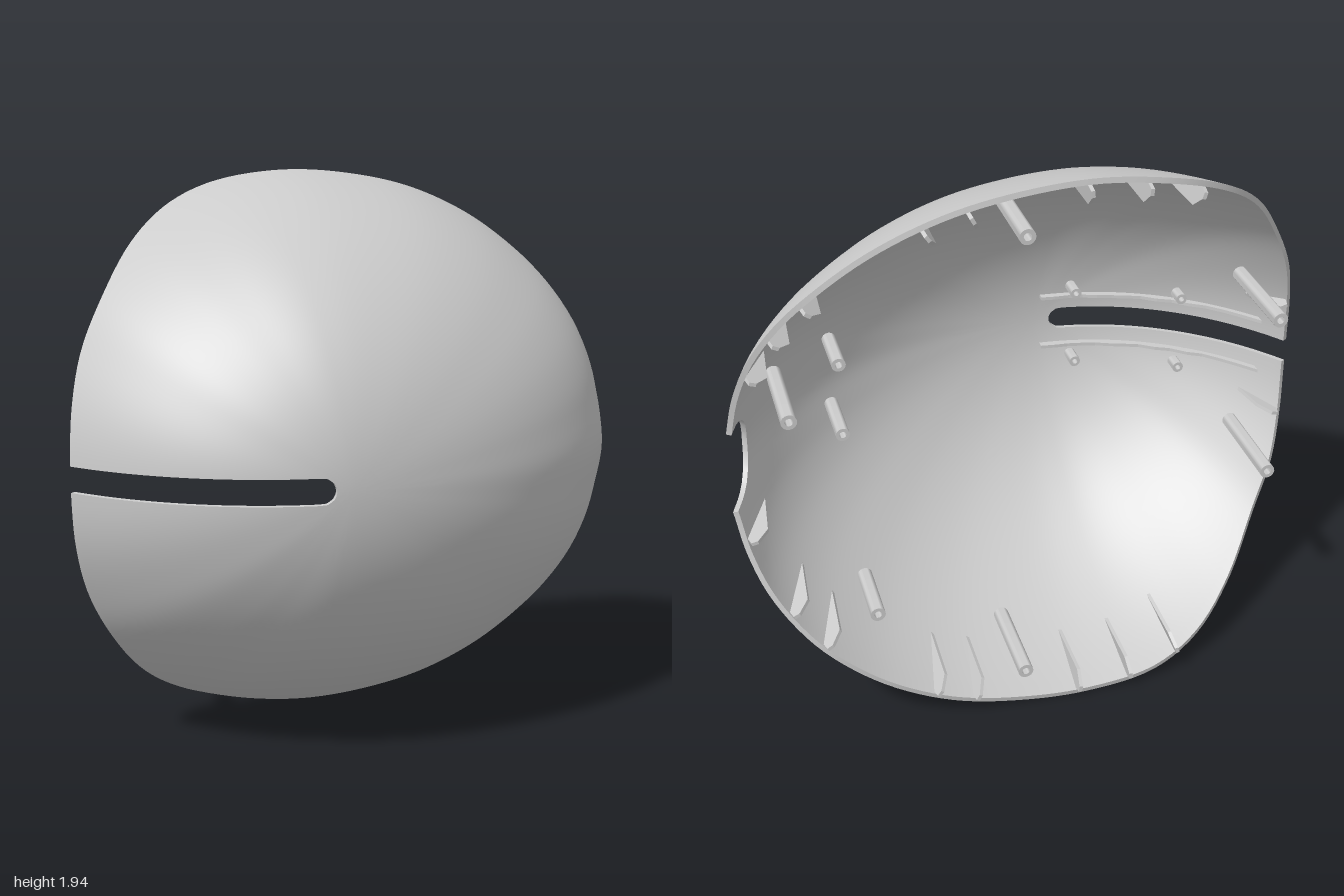
import * as THREE from 'three';
import { toCreasedNormals } from 'three/addons/utils/BufferGeometryUtils.js';

const material = new THREE.MeshStandardMaterial({ color: 0xcccccc });
const apex = new THREE.Vector3(-0.2, 0.97, 0.49);
const THICK = 0.018, SECTORS = 160, RINGS = 40;

// Upper half of the open rim, mirrored to the lower half
const upperRim = [
  [1.003, 1.14, -0.258], [0.98, 1.26, -0.28], [0.93, 1.4, -0.32], [0.85, 1.53, -0.365], [0.75, 1.64, -0.405],
  [0.57, 1.775, -0.44], [0.35, 1.875, -0.46], [0.12, 1.925, -0.465], [-0.13, 1.94, -0.465], [-0.38, 1.905, -0.455],
  [-0.56, 1.835, -0.39], [-0.72, 1.715, -0.27], [-0.86, 1.53, -0.13], [-0.94, 1.37, -0.07],
  [-0.985, 1.2, -0.01], [-1, 1.05, 0.02],
].map((p) => new THREE.Vector3(...p));
const lowerRim = upperRim.map((p) => new THREE.Vector3(p.x, 1.94 - p.y, p.z)).reverse();
const rim = new THREE.CatmullRomCurve3([new THREE.Vector3(1.03, 0.97, -0.25), ...upperRim, ...lowerRim], true);
const rimAt = (u) => rim.getPointAt(((u % 1) + 1) % 1);

// Dome: an arc from the apex to each rim point; t runs 0..1 along the arc
function dome(u, t) {
  const r = rimAt(u);
  const max = THREE.MathUtils.degToRad(50 + 26 * THREE.MathUtils.smoothstep(r.x, -1, -0.3));
  const d = Math.sin(max * t) / Math.sin(max);
  const drop = (1 - Math.cos(max * t)) / (1 - Math.cos(max));
  return new THREE.Vector3(
    apex.x + (r.x - apex.x) * d, apex.y + (r.y - apex.y) * d, apex.z + (r.z - apex.z) * drop);
}

// A shell vertex holds its outer and inner position and the cut edges it lies on
function shellVertex(u, t) {
  const o = dome(u, t), e = 0.004;
  const n = new THREE.Vector3(0, 0, 1);
  if (t > 0) {
    const along = dome(u, t + e).sub(dome(u, t - e));
    const around = dome(u + e, t).sub(dome(u - e, t));
    n.crossVectors(along, around).normalize();
  }
  return { o, i: o.clone().addScaledVector(n, -THICK), edges: t === 1 ? ['rim'] : [] };
}

// Cut-outs as distance rules, negative inside the opening
const cuts = {
  slot: (p) => Math.hypot(Math.max(p.x + 0.3, 0), p.y - 0.972) - 0.043,
  notch: (p) => Math.hypot(Math.max(p.z + 0.21, 0), p.y - 0.975) - 0.147,
};

function clip(poly, name) {
  const out = [];
  poly.forEach((a, k) => {
    const b = poly[(k + 1) % poly.length];
    const fa = cuts[name](a.o), fb = cuts[name](b.o);
    if (fa >= 0) out.push(a);
    if (fa >= 0 !== fb >= 0) {
      const s = fa / (fa - fb);
      out.push({
        o: a.o.clone().lerp(b.o, s), i: a.i.clone().lerp(b.i, s),
        edges: [...a.edges.filter((x) => b.edges.includes(x)), name],
      });
    }
  });
  return out;
}

function shellGeometry(grid) {
  const pos = [];
  const tri = (...ps) => ps.forEach((p) => pos.push(p.x, p.y, p.z));
  for (let j = 0; j < SECTORS; j++) {
    const c0 = grid[j], c1 = grid[(j + 1) % SECTORS];
    for (let k = 0; k < RINGS; k++) {
      let poly = k === 0 ? [c0[0], c0[1], c1[1]] : [c0[k], c0[k + 1], c1[k + 1], c1[k]];
      for (const name in cuts) poly = clip(poly, name);
      for (let m = 1; m < poly.length - 1; m++) {
        const [a, b, c] = [poly[0], poly[m], poly[m + 1]];
        tri(a.o, b.o, c.o);
        tri(a.i, c.i, b.i);
      }
      // Wall across the thickness along the rim and the cut-outs
      poly.forEach((a, m) => {
        const b = poly[(m + 1) % poly.length];
        if (!a.edges.some((x) => b.edges.includes(x))) return;
        tri(b.o, a.o, a.i);
        tri(b.o, a.i, b.i);
      });
    }
  }
  const g = new THREE.BufferGeometry();
  g.setAttribute('position', new THREE.Float32BufferAttribute(pos, 3));
  return toCreasedNormals(g, 0.6);
}

export function createModel() {
  const model = new THREE.Group();
  const add = (name, geometry) => {
    const mesh = new THREE.Mesh(geometry, material);
    mesh.name = name;
    model.add(mesh);
    return mesh;
  };

  const grid = Array.from({ length: SECTORS }, (_, j) =>
    Array.from({ length: RINGS + 1 }, (_, k) => shellVertex(j / SECTORS, k / RINGS)));
  add('shell', shellGeometry(grid));

  // Depth of the inner wall at a point seen from the front
  const innerZ = (x, y) => {
    let best = Infinity, z = 0;
    for (const v of grid.flat()) {
      const d = Math.hypot(v.i.x - x, v.i.y - y);
      if (d < best) { best = d; z = v.i.z; }
    }
    return z;
  };

  // Hollow posts running back from the inner wall, kept inside its outer skin
  function post(name, x, y, endZ, radius) {
    const ring = new THREE.Shape().absarc(0, 0, radius, 0, Math.PI * 2);
    ring.holes.push(new THREE.Path().absarc(0, 0, radius * 0.5, 0, Math.PI * 2, true));
    const out = new THREE.Vector2(x - apex.x, y - apex.y).setLength(radius);
    const depth = innerZ(x + out.x, y + out.y) - endZ;
    const g = new THREE.ExtrudeGeometry(ring, { depth, bevelEnabled: false, curveSegments: 8 });
    add(name, toCreasedNormals(g, 0.9)).position.set(x, y, endZ);
  }
  [
    [0.1, 1.79, -0.49], [0.1, 0.16, -0.49], [0.82, 1.19, -0.35],
    [0.57, 0.38, -0.33], [-0.83, 1.27, -0.28], [-0.83, 0.675, -0.28],
  ].forEach(([x, y, z]) => post('longPost', x, y, z, 0.026));
  [[0.6, 1.16], [0.6, 0.89]].forEach(([x, y]) => post('shortPost', x, y, 0.01, 0.024));

  // Small bosses and guide rails above and below the slot
  for (const side of [-1, 1]) {
    for (const x of [-0.68, -0.33]) {
      const y = 0.972 + side * 0.14;
      post('slotBoss', x, y, innerZ(x, y) - 0.07, 0.02);
    }
    const y = 0.972 + side * 0.1;
    const front = [], back = [];
    for (let k = 0; k <= 14; k++) {
      const x = -0.92 + k * 0.05, z = innerZ(x, y);
      front.push(new THREE.Vector2(x, z + 0.006));
      back.unshift(new THREE.Vector2(x, z - 0.025));
    }
    const g = new THREE.ExtrudeGeometry(new THREE.Shape([...front, ...back]), { depth: 0.012, bevelEnabled: false });
    g.rotateX(Math.PI / 2);
    add('slotRail', g).position.y = y + 0.006;
  }

  // Pointed locating fin with its broad end just past the rim
  function fin(u) {
    const end = shellVertex(u, 0.995).i, tip = shellVertex(u, 0.84).i;
    const radial = new THREE.Vector3(end.x - apex.x, end.y - apex.y, 0);
    const r = radial.length();
    const tipR = Math.hypot(tip.x - apex.x, tip.y - apex.y);
    radial.normalize();
    const outline = [
      [r, end.z], [r - 0.008, end.z - 0.032], [r - 0.03, end.z - 0.032],
      [r - 0.07, end.z + 0.015], [tipR, tip.z],
    ].map((p) => new THREE.Vector2(...p));
    const g = new THREE.ExtrudeGeometry(new THREE.Shape(outline), { depth: 0.012, bevelEnabled: false });
    g.translate(0, 0, -0.006);
    const axis = new THREE.Vector3(0, 0, 1);
    const m = new THREE.Matrix4().makeBasis(radial, axis, radial.clone().cross(axis));
    g.applyMatrix4(m.setPosition(apex.x, apex.y, 0));
    add('rimFin', g);
  }

  // Rim parameter on the upper half where the rim reaches a given x
  const rimParam = (x) => {
    let u = 0;
    while (rimAt(u).x > x) u += 0.001;
    return u;
  };
  for (const x of [0.88, 0.78, 0.42, 0.28, -0.09, -0.28, -0.47, -0.985]) {
    fin(rimParam(x));
    fin(1 - rimParam(x));
  }
  fin(rimParam(0.955));
  fin(1 - rimParam(0.99));
  return model;
}
